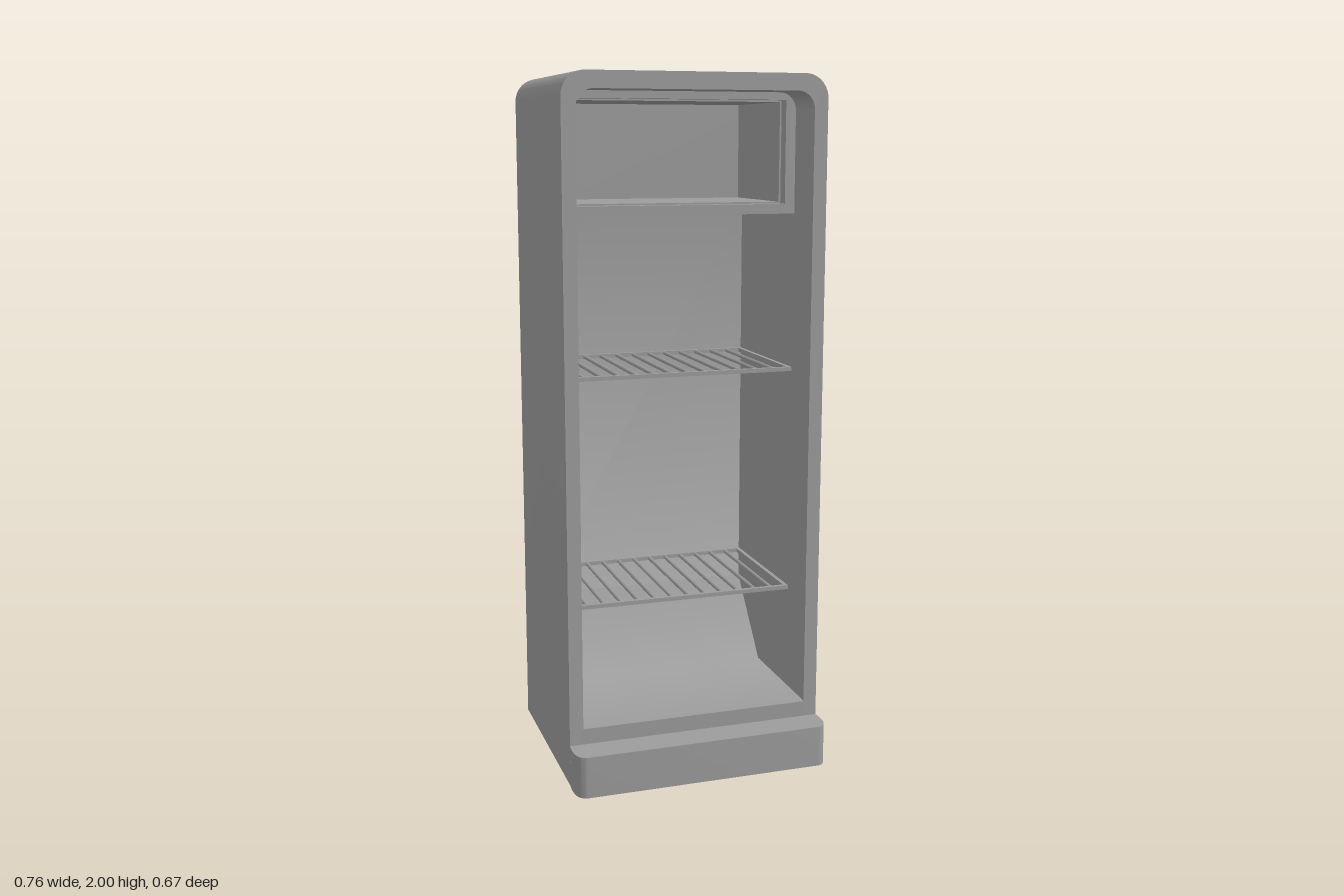
import * as THREE from 'three';
import { toCreasedNormals } from 'three/addons/utils/BufferGeometryUtils.js';

const BACK = -0.338, LINER_BACK = -0.322, FRONT = 0.245, INNER_FRONT = 0.11;
const HALF = 0.34; // half width of the inside

const material = new THREE.MeshStandardMaterial({ color: 0x9c9c9c });

// Outline with square bottom corners and rounded top corners
function arch(path, halfW, y0, y1, r) {
  path.moveTo(-halfW, y0);
  path.lineTo(halfW, y0);
  path.lineTo(halfW, y1 - r);
  path.absarc(halfW - r, y1 - r, r, 0, Math.PI / 2, false);
  path.absarc(-halfW + r, y1 - r, r, Math.PI / 2, Math.PI, false);
  path.closePath();
  return path;
}

function rectHole(halfW, y0, y1) {
  const p = new THREE.Path();
  p.moveTo(-halfW, y0);
  p.lineTo(-halfW, y1);
  p.lineTo(halfW, y1);
  p.lineTo(halfW, y0);
  p.closePath();
  return p;
}

function extrude(shape, depth) {
  const geo = new THREE.ExtrudeGeometry(shape, { depth, bevelEnabled: false, curveSegments: 10 });
  return toCreasedNormals(geo, 0.6);
}

function add(parent, name, geo, x = 0, y = 0, z = 0) {
  const mesh = new THREE.Mesh(geo, material);
  mesh.name = name;
  mesh.position.set(x, y, z);
  parent.add(mesh);
  return mesh;
}

// Shelf: rails on all sides with rods running front to back
function wireShelf(name, y) {
  const shelf = new THREE.Group();
  shelf.name = name;
  const depth = INNER_FRONT - LINER_BACK, midZ = (INNER_FRONT + LINER_BACK) / 2;
  const rail = new THREE.BoxGeometry(HALF * 2, 0.012, 0.012);
  add(shelf, 'frontRail', rail, 0, 0, INNER_FRONT - 0.006);
  add(shelf, 'backRail', rail, 0, 0, LINER_BACK + 0.008);
  const side = new THREE.BoxGeometry(0.012, 0.012, depth);
  for (const s of [-1, 1]) add(shelf, 'sideRail', side, s * (HALF - 0.006), 0, midZ);
  const rod = new THREE.CylinderGeometry(0.006, 0.006, depth - 0.01, 8).rotateX(Math.PI / 2);
  const count = 13;
  for (let i = 1; i < count; i++) {
    add(shelf, 'rod', rod, -HALF + (2 * HALF * i) / count, 0, midZ);
  }
  shelf.position.y = y;
  return shelf;
}

export function createModel() {
  const model = new THREE.Group();
  model.name = 'openRefrigerator';

  // Cabinet walls and back
  const walls = arch(new THREE.Shape(), 0.38, 0, 2, 0.068);
  walls.holes.push(arch(new THREE.Path(), HALF, 0.168, 1.953, 0.05));
  add(model, 'cabinetWalls', extrude(walls, FRONT - LINER_BACK), 0, 0, LINER_BACK);
  const back = arch(new THREE.Shape(), 0.38, 0, 2, 0.068);
  add(model, 'cabinetBack', extrude(back, LINER_BACK - BACK), 0, 0, BACK);

  // Lining: back wall, compressor slope and floor, each row as z, y and tilt of its normal
  const rows = [
    [LINER_BACK + 0.002, 1.62, 0],
    [LINER_BACK + 0.002, 0.395, 0.35],
    [-0.13, 0.17, 1.13],
    [FRONT - 0.001, 0.17, Math.PI / 2],
  ];
  const lining = new THREE.PlaneGeometry(HALF * 2, 1, 1, rows.length - 1);
  const { position, normal } = lining.attributes;
  for (let i = 0; i < position.count; i++) {
    const [z, y, tilt] = rows[Math.floor(i / 2)];
    position.setXYZ(i, position.getX(i), y, z);
    normal.setXYZ(i, 0, Math.sin(tilt), Math.cos(tilt));
  }
  add(model, 'lining', lining);

  // Base step with softly rounded ends
  const step = new THREE.Shape();
  step.moveTo(-0.379, -0.24);
  step.quadraticCurveTo(-0.382, -0.255, -0.382, -0.275);
  step.bezierCurveTo(-0.382, -0.315, -0.372, -0.336, -0.348, -0.336);
  step.lineTo(0.348, -0.336);
  step.bezierCurveTo(0.372, -0.336, 0.382, -0.315, 0.382, -0.275);
  step.quadraticCurveTo(0.382, -0.255, 0.379, -0.24);
  step.closePath();
  add(model, 'baseStep', extrude(step, 0.122).rotateX(-Math.PI / 2));

  // Freezer box: front rim, slightly narrower chamber and its back wall
  const freezer = new THREE.Group();
  freezer.name = 'freezerBox';
  const recess = 0.035, chamberBack = -0.265;
  const layers = [
    ['freezerRim', INNER_FRONT - recess, INNER_FRONT, rectHole(0.31, 1.64, 1.932)],
    ['freezerChamber', chamberBack, INNER_FRONT - recess, rectHole(0.305, 1.645, 1.927)],
    ['freezerBack', LINER_BACK, chamberBack, null],
  ];
  for (const [name, z0, z1, hole] of layers) {
    const shape = arch(new THREE.Shape(), HALF, 1.612, 1.953, 0.05);
    if (hole) shape.holes.push(hole);
    add(freezer, name, extrude(shape, z1 - z0), 0, 0, z0);
  }
  model.add(freezer);

  model.add(wireShelf('upperShelf', 1.157), wireShelf('lowerShelf', 0.484));
  return model;
}
